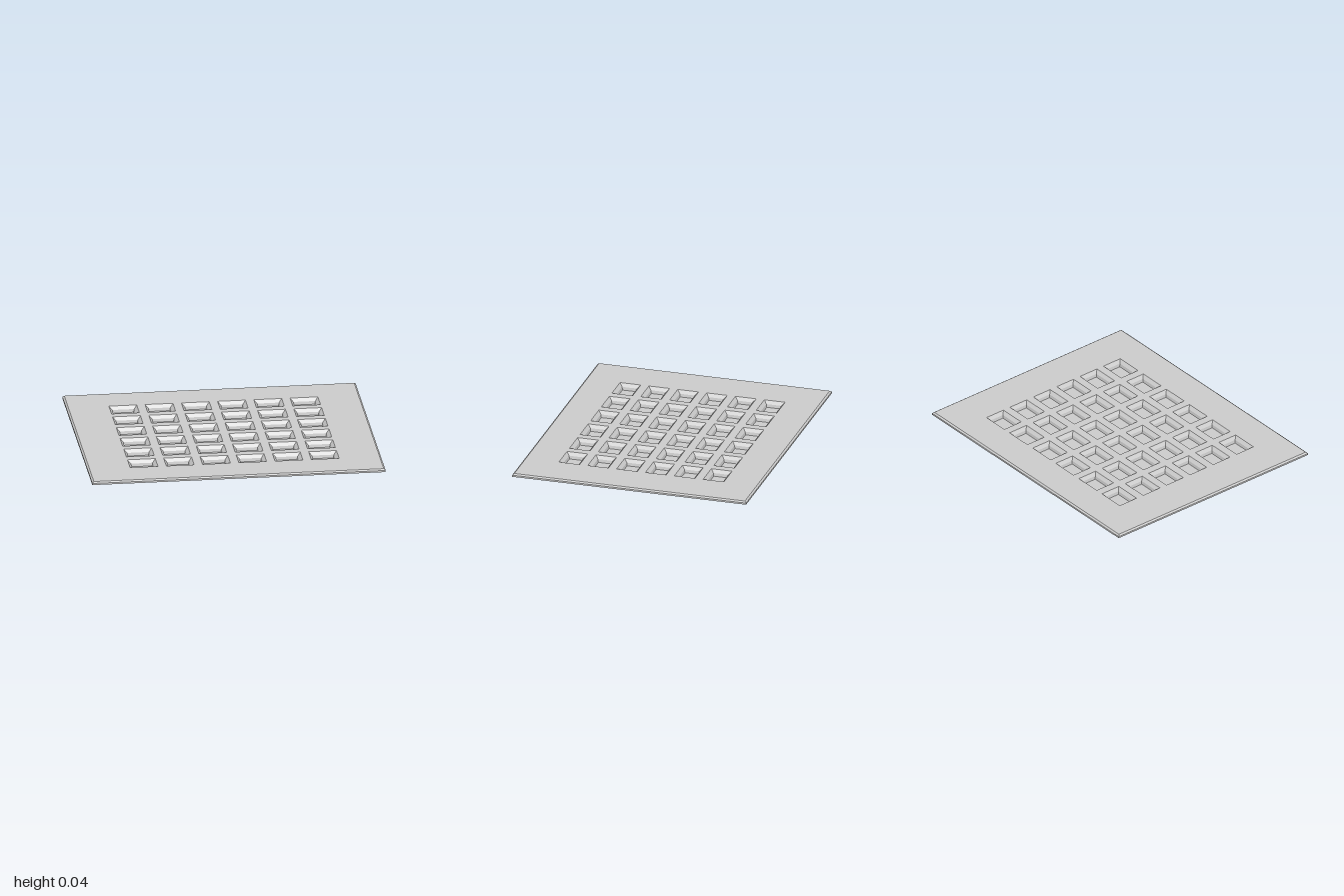
import * as THREE from 'three';

const TOP = 0.042, UNDER = 0.021;
const COLS = 6, ROWS = 6, PITCH_X = 0.247, PITCH_Z = 0.204;
const CORNERS = [[1, 1], [1, -1], [-1, -1], [-1, 1]];

// Joins rectangles [width, depth, y] into a four-sided band, optionally closing the last one
function rectLoft(rects, cap) {
  const pos = [];
  const point = ([w, d, y], k) => [CORNERS[k % 4][0] * w / 2, y, CORNERS[k % 4][1] * d / 2];
  for (let i = 0; i < rects.length - 1; i++) {
    for (let k = 0; k < 4; k++) {
      const a = point(rects[i], k), b = point(rects[i], k + 1);
      const c = point(rects[i + 1], k + 1), d = point(rects[i + 1], k);
      pos.push(...a, ...b, ...c, ...a, ...c, ...d);
    }
  }
  if (cap) for (const k of [0, 1, 2, 0, 2, 3]) pos.push(...point(rects[rects.length - 1], k));
  const geo = new THREE.BufferGeometry();
  geo.setAttribute('position', new THREE.Float32BufferAttribute(pos, 3));
  geo.computeVertexNormals();
  return geo;
}

function rectPath(path, x, y, w, h) {
  path.moveTo(x - w / 2, y - h / 2);
  path.lineTo(x + w / 2, y - h / 2);
  path.lineTo(x + w / 2, y + h / 2);
  path.lineTo(x - w / 2, y + h / 2);
  path.closePath();
  return path;
}

// Centres of the pocket grid
function pocketCentres() {
  const list = [];
  for (let r = 0; r < ROWS; r++)
    for (let c = 0; c < COLS; c++)
      list.push([(c - (COLS - 1) / 2) * PITCH_X, (r - (ROWS - 1) / 2) * PITCH_Z]);
  return list;
}

// Flat sheet in the xz plane with a grid of rectangular openings
function perforatedSheet(w, d, holeW, holeD) {
  const shape = rectPath(new THREE.Shape(), 0, 0, w, d);
  for (const [x, z] of pocketCentres()) shape.holes.push(rectPath(new THREE.Path(), x, z, holeW, holeD));
  return new THREE.ShapeGeometry(shape).rotateX(-Math.PI / 2);
}

export function createModel() {
  const group = new THREE.Group();
  const grey = new THREE.MeshStandardMaterial({ color: 0xcccccc, side: THREE.DoubleSide, flatShading: true });
  const add = (name, geo, parent = group) => {
    const mesh = new THREE.Mesh(geo, grey);
    mesh.name = name;
    parent.add(mesh);
    return mesh;
  };

  // Plate: top face, underside and chamfered rim
  add('plateTop', perforatedSheet(1.976, 1.63, 0.19, 0.147)).position.y = TOP;
  const under = add('plateUnderside', perforatedSheet(2, 1.654, 0.15, 0.106));
  under.rotation.x = Math.PI;
  under.position.y = UNDER;
  add('plateRim', rectLoft([[2, 1.654, UNDER], [2, 1.654, 0.033], [1.976, 1.63, TOP]], false));

  // Pockets: sloped walls that reach below the plate, with a flat floor
  const pockets = new THREE.Group();
  pockets.name = 'pockets';
  group.add(pockets);
  const pocketGeo = rectLoft([[0.19, 0.147, TOP], [0.15, 0.106, UNDER], [0.14, 0.097, 0]], true);
  for (const [x, z] of pocketCentres()) add('pocket', pocketGeo, pockets).position.set(x, 0, z);

  return group;
}
